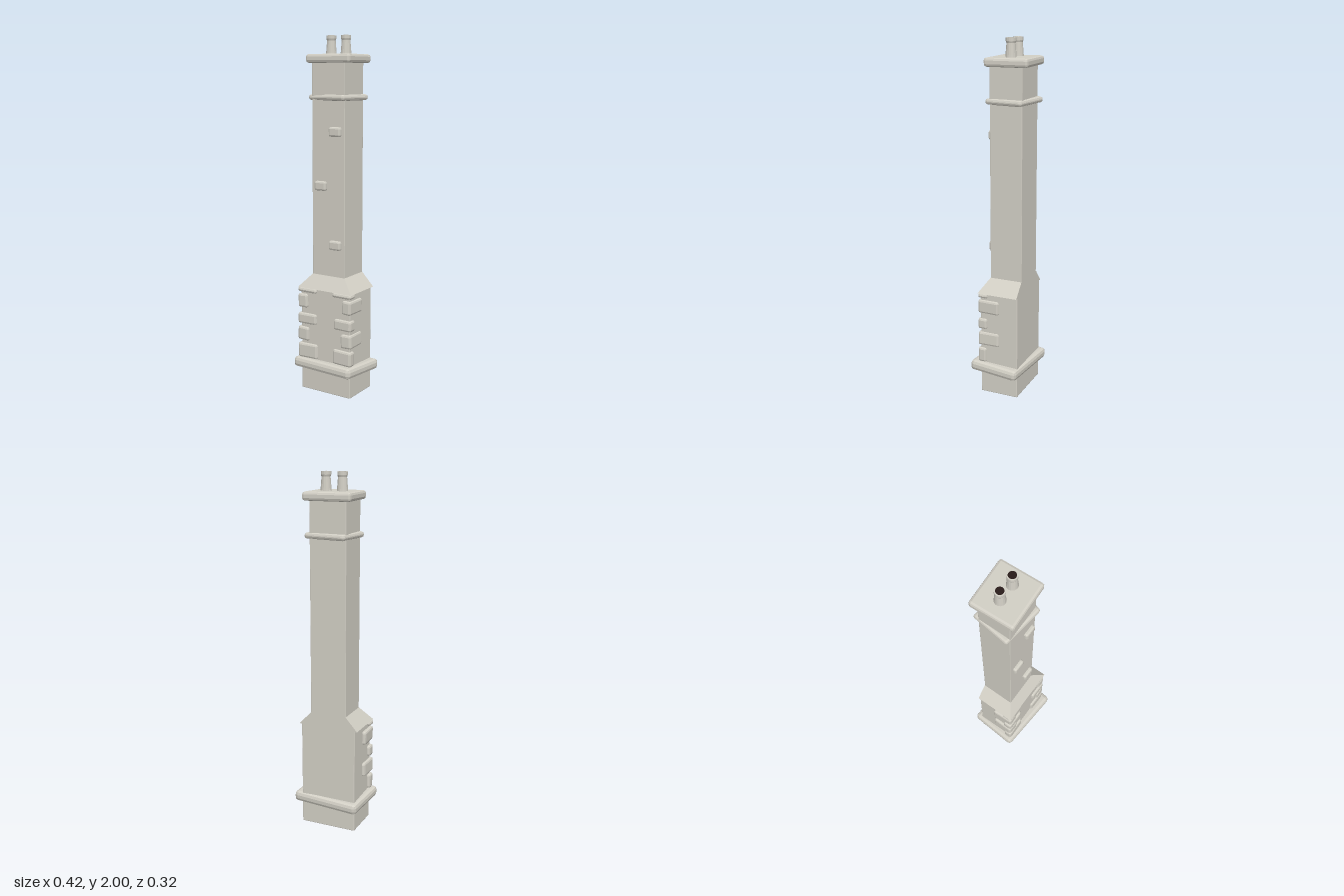
import * as THREE from 'three';
import { RoundedBoxGeometry } from 'three/addons/geometries/RoundedBoxGeometry.js';

const stone = new THREE.MeshStandardMaterial({ color: 0xd2cfc5 });
stone.name = 'stone';
const soot = new THREE.MeshStandardMaterial({ color: 0x281c1a });
soot.name = 'soot';
const darkStone = new THREE.MeshStandardMaterial({ color: 0x746e68 });
darkStone.name = 'darkStone';

export function createModel() {
  const chimney = new THREE.Group();
  chimney.name = 'chimney';

  function add(name, geometry, material = stone) {
    const mesh = new THREE.Mesh(geometry, material);
    mesh.name = name;
    chimney.add(mesh);
    return mesh;
  }

  // Box between limits on each axis, with a flat chamfer
  function block(name, [x0, x1], [y0, y1], [z0, z1], bevel) {
    const geometry = new RoundedBoxGeometry(x1 - x0, y1 - y0, z1 - z0, 1, bevel);
    geometry.computeVertexNormals();
    const mesh = add(name, geometry);
    mesh.position.set((x0 + x1) / 2, (y0 + y1) / 2, (z0 + z1) / 2);
    return mesh;
  }

  // Main masonry, flush along the back
  block('base', [-0.168, 0.158], [0.002, 0.61], [-0.122, 0.101], 0.004);
  block('shaft', [-0.113, 0.099], [0.67, 1.87], [-0.122, 0.066], 0.003);

  // Dark underside of the base
  const underside = add('underside', new THREE.PlaneGeometry(0.322, 0.219), darkStone);
  underside.rotation.x = Math.PI / 2;
  underside.position.set(-0.005, 0, -0.0105);

  // Sloping shoulder: a box whose top corners are drawn in to the shaft
  const slope = new THREE.BoxGeometry(1, 1, 1).toNonIndexed();
  const p = slope.attributes.position;
  for (let i = 0; i < p.count; i++) {
    const top = p.getY(i) > 0;
    const x = p.getX(i) > 0 ? (top ? 0.099 : 0.172) : (top ? -0.113 : -0.182);
    const z = p.getZ(i) > 0 ? (top ? 0.066 : 0.115) : -0.122;
    p.setXYZ(i, x, top ? 0.682 : 0.605, z);
  }
  slope.computeVertexNormals();
  add('shoulder', slope);

  // Crooked bands and cap slab
  block('lowerBand', [-0.2, 0.198], [0.125, 0.185], [-0.146, 0.145], 0.02)
    .rotation.set(-0.05, -0.08, 0.01);
  block('upperBand', [-0.128, 0.119], [1.653, 1.685], [-0.142, 0.079], 0.013)
    .rotation.set(0, -0.12, 0);
  block('capSlab', [-0.141, 0.132], [1.853, 1.9], [-0.155, 0.092], 0.014)
    .rotation.set(0, 0.05, 0);

  // Corner stones, alternately long on the front and on the side:
  // [bottom, top, left inner x, right inner x, back z, tilt]
  const quoins = [
    [0.19, 0.277, -0.057, 0.05, 0.065, 0.02],
    [0.293, 0.373, -0.112, 0.1, -0.012, -0.03],
    [0.392, 0.455, -0.063, 0.057, 0.06, 0.01],
    [0.487, 0.567, -0.123, 0.112, -0.012, 0.03],
    [0.577, 0.604, -0.06, 0.046, 0.058, 0],
  ];
  for (const [y0, y1, xl, xr, z0, tilt] of quoins) {
    block('rightCornerStone', [-0.186, xl], [y0, y1], [z0, 0.115], 0.012)
      .rotation.set(0, tilt, tilt);
    block('leftCornerStone', [xr, 0.169], [y0, y1], [z0, 0.115], 0.012)
      .rotation.set(0, -tilt, -tilt);
  }

  // Small bricks standing out of the front
  for (const [x, y] of [[0.042, 1.487], [-0.052, 1.188], [0.042, 0.862]]) {
    block('frontBrick', [x - 0.037, x + 0.037], [y - 0.026, y + 0.026], [0.045, 0.086], 0.01);
  }

  // Chimney pots with dark mouths
  const profile = [
    [0.031, 1.89], [0.029, 1.91], [0.024, 1.972], [0.0275, 1.982],
    [0.0275, 2], [0.021, 2], [0.021, 1.985],
  ].map(([r, y]) => new THREE.Vector2(r, y));
  for (const x of [-0.052, 0.043]) {
    const pot = new THREE.LatheGeometry(profile, 16).toNonIndexed();
    pot.computeVertexNormals();
    add('chimneyPot', pot).position.set(x, 0, -0.033);
    const mouth = add('potMouth', new THREE.CircleGeometry(0.0215, 16), soot);
    mouth.rotation.x = -Math.PI / 2;
    mouth.position.set(x, 1.999, -0.033);
  }

  return chimney;
}
